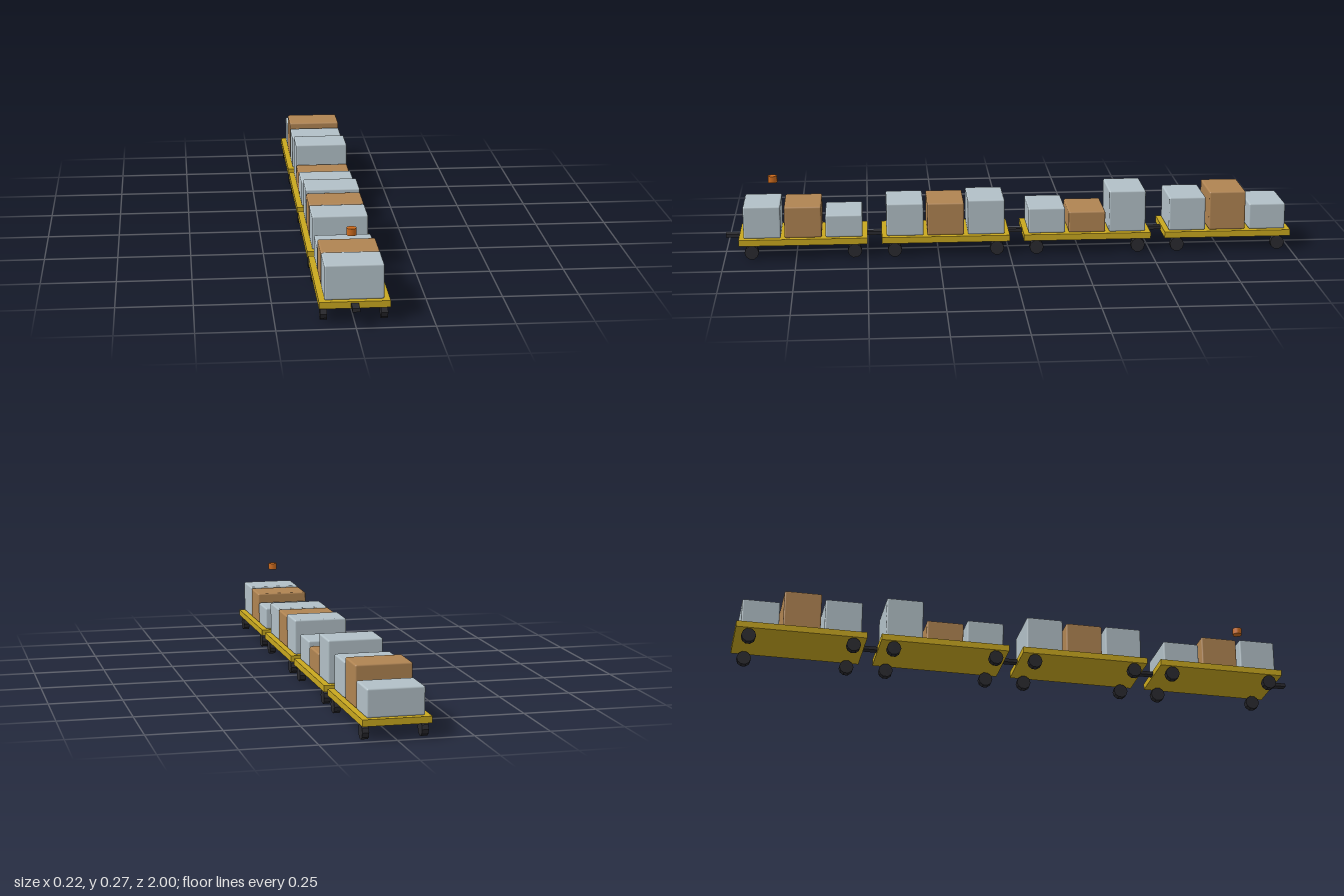
import * as THREE from 'three';
import { RoundedBoxGeometry } from 'three/addons/geometries/RoundedBoxGeometry.js';

function material(name, color) {
  const m = new THREE.MeshStandardMaterial({ color });
  m.name = name;
  return m;
}

export function createModel() {
  const yellow = material('deck yellow', 0xc9a81f);
  const dark = material('rubber black', 0x2a2a2f);
  const grey = material('crate grey', 0xb2c0c7);
  const brown = material('carton brown', 0xb08452);
  const orange = material('beacon orange', 0xcc6a1c);

  const model = new THREE.Group();
  model.name = 'cargoCartTrain';

  function add(parent, name, geometry, mat, x, y, z) {
    const mesh = new THREE.Mesh(geometry, mat);
    mesh.name = name;
    mesh.position.set(x, y, z);
    parent.add(mesh);
    return mesh;
  }

  const deckTop = 0.072;
  const deckGeometry = new THREE.BoxGeometry(0.225, 0.022, 0.45);
  const drawbarGeometry = new THREE.BoxGeometry(0.024, 0.012, 0.05);
  const wheelGeometry = new THREE.CylinderGeometry(0.025, 0.025, 0.022, 10).toNonIndexed();
  wheelGeometry.rotateZ(Math.PI / 2);
  wheelGeometry.computeVertexNormals();

  // Top height of each load, front to back, per cart
  const loadTops = [
    [0.187, 0.184, 0.152],
    [0.189, 0.188, 0.197],
    [0.163, 0.148, 0.2205],
    [0.193, 0.211, 0.165],
  ];

  loadTops.forEach((tops, i) => {
    const cart = new THREE.Group();
    cart.name = `cart${i + 1}`;
    cart.position.z = 0.725 - i * 0.5;
    model.add(cart);

    add(cart, 'deck', deckGeometry, yellow, 0, 0.061, 0);
    add(cart, 'drawbar', drawbarGeometry, dark, 0, 0.061, 0.25);

    // Four wheels
    for (const x of [-0.096, 0.096]) {
      for (const z of [-0.18, 0.18]) add(cart, 'wheel', wheelGeometry, dark, x, 0.025, z);
    }

    // Three loads, the middle one a carton
    tops.forEach((top, j) => {
      const height = top - deckTop;
      const box = new RoundedBoxGeometry(0.189, height, 0.13, 2, 0.006);
      add(cart, j === 1 ? 'carton' : 'crate', box, j === 1 ? brown : grey,
        0, deckTop + height / 2, 0.143 * (1 - j));
    });
  });

  // Beacon above the first crate
  add(model, 'beacon', new THREE.CylinderGeometry(0.0165, 0.0165, 0.023, 12), orange, 0, 0.2635, 0.83);

  return model;
}
